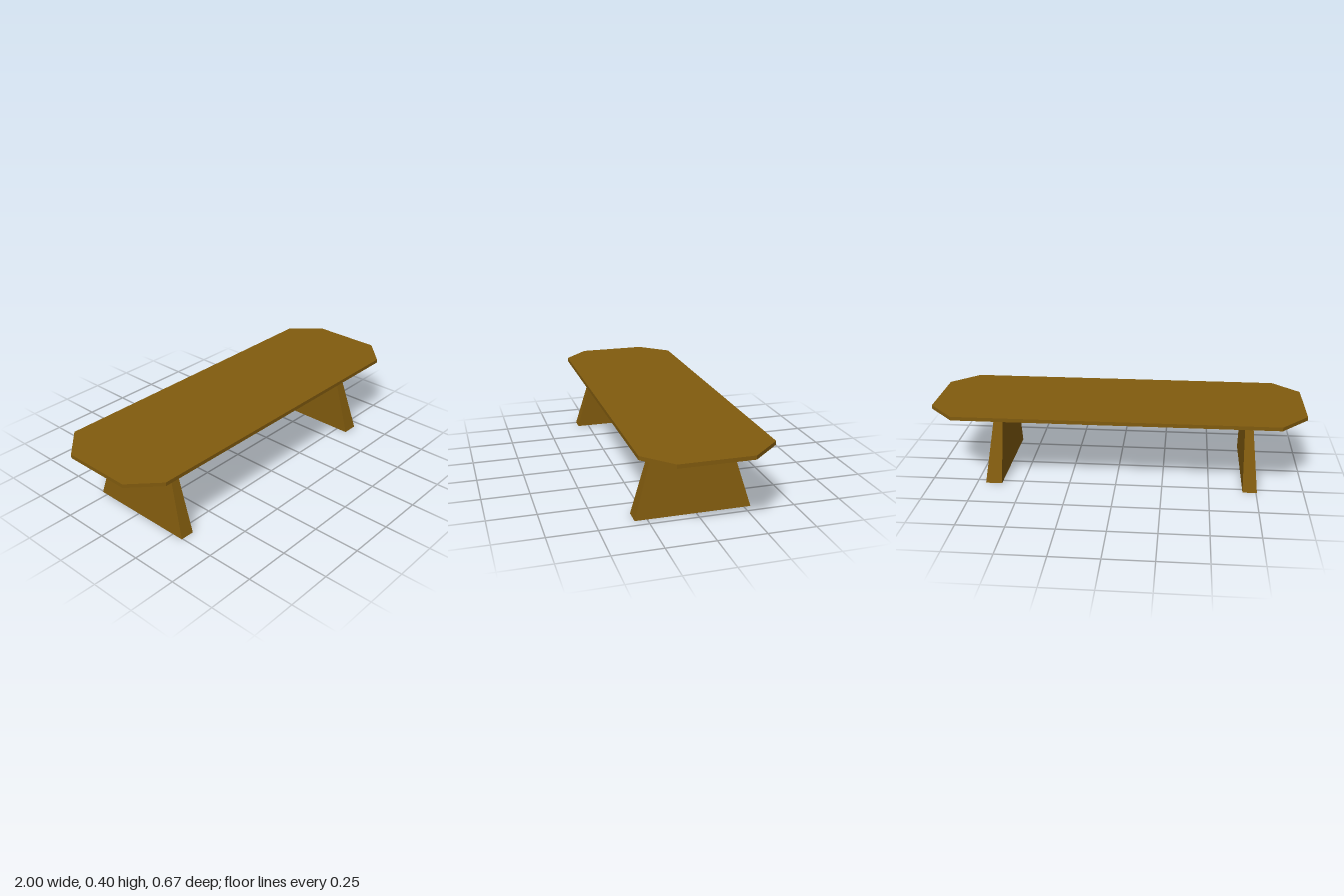
import * as THREE from 'three';

const wood = new THREE.MeshStandardMaterial({ color: 0x815b0e });
wood.name = 'brown wood';

// Tapered slab leg: vertical inner face, sloping outer face and ends
function makeLeg(name, [bottomX0, bottomX1], [topX0, topX1]) {
  const height = 0.38;
  const geo = new THREE.BoxGeometry(1, height, 1).toNonIndexed();
  const p = geo.attributes.position;
  for (let i = 0; i < p.count; i++) {
    const top = p.getY(i) > 0, right = p.getX(i) > 0, front = p.getZ(i) > 0;
    const x = top ? (right ? topX1 : topX0) : (right ? bottomX1 : bottomX0);
    const z = top ? (front ? 0.2 : -0.172) : (front ? 0.313 : -0.285);
    p.setXYZ(i, x, top ? height : 0, z);
  }
  geo.computeVertexNormals();
  const leg = new THREE.Mesh(geo, wood);
  leg.name = name;
  return leg;
}

export function createModel() {
  const bench = new THREE.Group();
  bench.name = 'bench';

  // Plank with clipped corners; shape y becomes -z
  const outline = [
    [-0.857, -0.333], [0.857, -0.333], [1, -0.197], [1, 0.177],
    [0.857, 0.333], [-0.857, 0.333], [-1, 0.177], [-1, -0.197],
  ].map(([x, y]) => new THREE.Vector2(x, y));
  const plank = new THREE.ExtrudeGeometry(new THREE.Shape(outline), { depth: 0.02, bevelEnabled: false });
  plank.rotateX(-Math.PI / 2);
  plank.translate(0, 0.38, 0);
  const seat = new THREE.Mesh(plank, wood);
  seat.name = 'seat';
  bench.add(seat);

  bench.add(makeLeg('rightLeg', [-0.755, -0.679], [-0.718, -0.679]));
  bench.add(makeLeg('leftLeg', [0.615, 0.703], [0.615, 0.658]));
  return bench;
}
